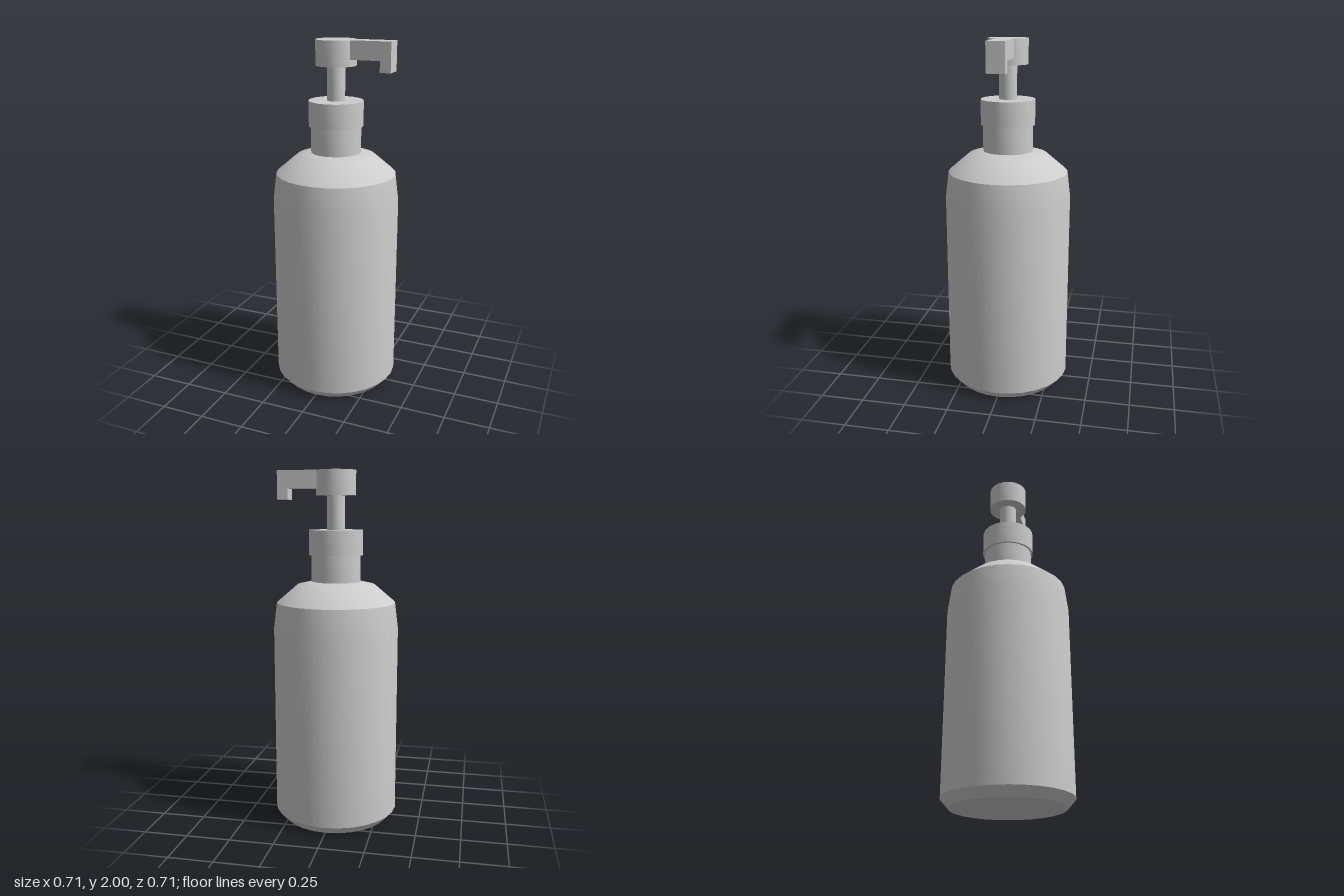
import * as THREE from 'three';
import { toCreasedNormals } from 'three/addons/utils/BufferGeometryUtils.js';

export function createModel() {
  const group = new THREE.Group();
  group.name = 'pumpBottle';
  const grey = new THREE.MeshStandardMaterial({ color: 0xcccccc });
  grey.name = 'plain grey';

  const add = (name, geometry) => {
    const mesh = new THREE.Mesh(geometry, grey);
    mesh.name = name;
    group.add(mesh);
    return mesh;
  };

  // Turned part from [radius, height] points, bottom to top
  const turned = (name, profile, sides) => {
    const points = profile.map(([r, y]) => new THREE.Vector2(r, y));
    return add(name, toCreasedNormals(new THREE.LatheGeometry(points, sides), Math.PI / 6));
  };

  const drum = (name, r, y0, y1) => turned(name, [[0, y0], [r, y0], [r, y1], [0, y1]], 20);

  // Body with chamfered base and sloped shoulder
  turned('body', [
    [0, 0], [0.312, 0], [0.356, 0.05], [0.356, 1.12],
    [0.337, 1.27], [0.22, 1.37], [0.13, 1.39], [0, 1.39],
  ], 28);

  // Neck, collar and pump
  drum('neck', 0.14, 1.385, 1.535);
  drum('collar', 0.152, 1.535, 1.675);
  drum('pumpStem', 0.05, 1.67, 1.87);
  drum('pumpHead', 0.112, 1.863, 2);

  // Spout with a downturned tip
  const outline = new THREE.Shape([
    [0.095, 1.9], [0.265, 1.9], [0.265, 1.84], [0.325, 1.84], [0.325, 2], [0.095, 2],
  ].map(([x, y]) => new THREE.Vector2(x, y)));
  const spout = add('spout', new THREE.ExtrudeGeometry(outline, { depth: 0.1, bevelEnabled: false }));
  spout.position.z = -0.05;

  return group;
}
